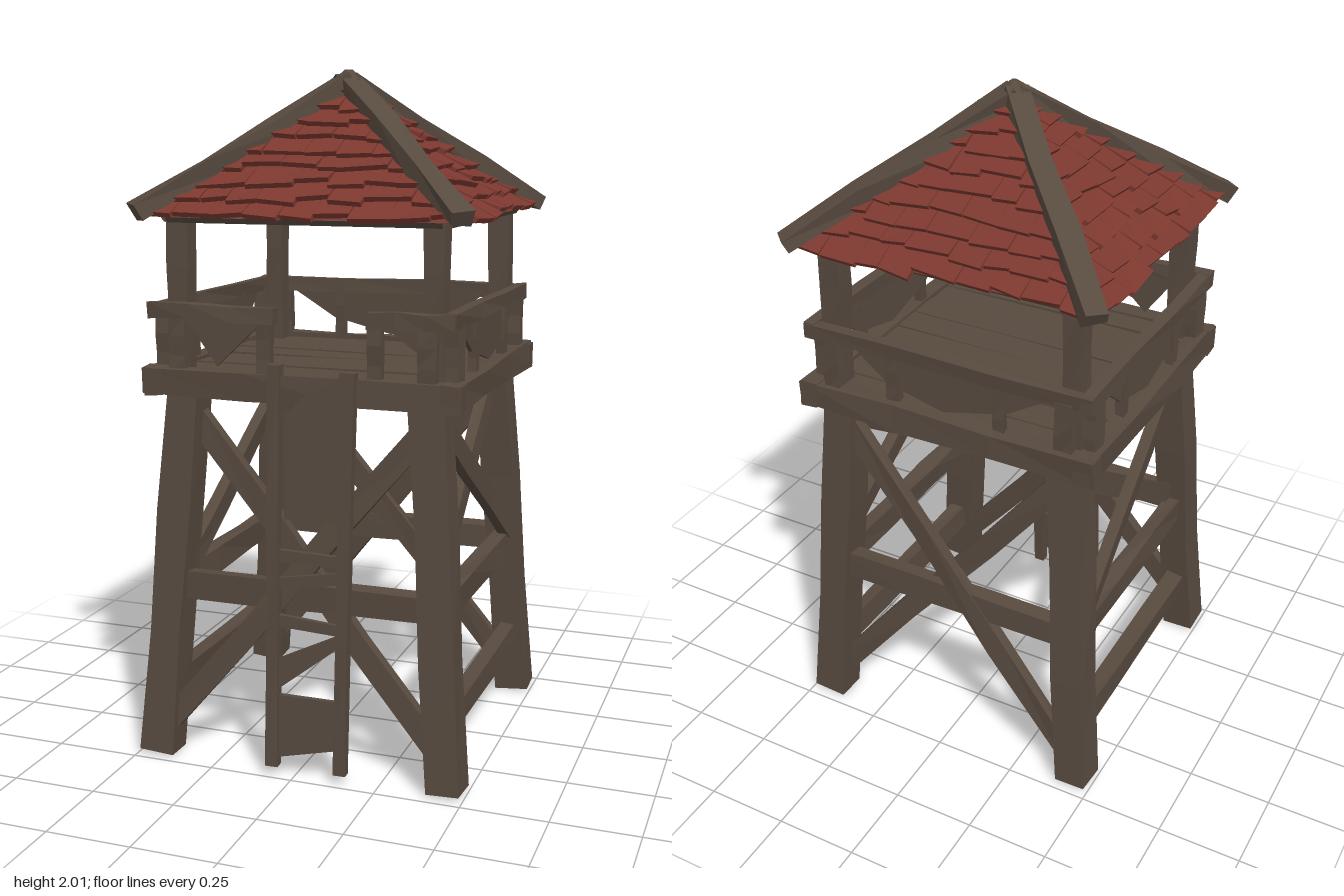
import * as THREE from 'three';
import { mergeGeometries } from 'three/addons/utils/BufferGeometryUtils.js';

const V = (x, y, z) => new THREE.Vector3(x, y, z);

export function createModel() {
  const tower = new THREE.Group();
  tower.name = 'watchtower';
  const wood = new THREE.MeshStandardMaterial({ color: 0x574a3f, flatShading: true, side: THREE.DoubleSide });
  wood.name = 'weathered wood';
  const tile = new THREE.MeshStandardMaterial({ color: 0x7c382f, flatShading: true, side: THREE.DoubleSide });
  tile.name = 'red shingle';

  let seed = 7;
  const rand = (a, b) => {
    seed = (seed * 16807) % 2147483647;
    return a + (b - a) * seed / 2147483647;
  };

  function add(name, geometry, material = wood, parent = tower) {
    const mesh = new THREE.Mesh(geometry, material);
    mesh.name = name;
    parent.add(mesh);
    return mesh;
  }

  // Rough-hewn beam from a to b: w across, d along the "out" direction
  function beam(name, a, b, w, d, out = V(0, 0, 1), rough = 0.004) {
    const axis = b.clone().sub(a);
    const g = new THREE.BoxGeometry(w, axis.length(), d, 1, 3, 1);
    const p = g.attributes.position;
    const phase = rand(0, 9);
    for (let i = 0; i < p.count; i++) {
      const k = p.getX(i) * 91 + p.getY(i) * 37 + p.getZ(i) * 67 + phase;
      p.setX(i, p.getX(i) + rough * Math.sin(k * 3));
      p.setZ(i, p.getZ(i) + rough * Math.cos(k * 5));
    }
    axis.normalize();
    const side = axis.clone().cross(out).normalize();
    const depth = side.clone().cross(axis);
    g.applyMatrix4(new THREE.Matrix4().makeBasis(side, axis, depth));
    g.translate(...a.clone().add(b).multiplyScalar(0.5).toArray());
    g.computeVertexNormals();
    return add(name, g);
  }

  // Thin board cut to an outline
  function board(name, points, depth = 0.012) {
    const shape = new THREE.Shape(points.map(([x, y]) => new THREE.Vector2(x, y)));
    const g = new THREE.ExtrudeGeometry(shape, { depth, bevelEnabled: false });
    g.translate(0, 0, -depth / 2);
    return add(name, g);
  }

  // Splayed legs, roof posts and short railing corner posts
  for (const x of [-1, 1]) for (const z of [-1, 1]) {
    beam('leg', V(x * 0.44, 0, z * 0.424), V(x * 0.365, 1.1, z * 0.355), 0.1, 0.098);
    beam('roofPost', V(x * 0.382, 1.08, z * 0.36), V(x * 0.377, 1.63, z * 0.36), 0.06, 0.06);
    beam('cornerPost', V(x * 0.43, 1.14, z * 0.36), V(x * 0.43, 1.31, z * 0.36), 0.04, 0.05);
    beam('cornerPost', V(x * 0.37, 1.14, z * 0.41), V(x * 0.37, 1.31, z * 0.41), 0.05, 0.035);
  }

  // Leg centre line at a given height
  const legX = y => 0.44 - 0.068 * y;
  const legZ = y => 0.424 - 0.063 * y;

  // Cross braces and cross beams, front and back
  for (const s of [-1, 1]) {
    const at = (x, y, off = 0) => V(x * legX(y), y, s * (legZ(y) + off));
    beam('crossBeam', at(-1, 0.515), at(1, 0.515), 0.08, 0.05);
    beam('brace', at(-1, 0.06, 0.012), at(1, 1.04, 0.012), 0.066, 0.035);
    beam('brace', at(1, 0.06, -0.02), at(-1, 1.04, -0.02), 0.066, 0.035);
  }
  // Cross braces and cross beams, left and right
  const outX = V(1, 0, 0);
  for (const s of [-1, 1]) {
    const at = (z, y, off = 0) => V(s * (legX(y) + off), y, z * legZ(y));
    for (const y of [0.19, 0.51]) beam('crossBeam', at(-1, y), at(1, y), 0.076, 0.05, outX);
    beam('brace', at(-1, 0.53, 0.015), at(1, 1.05, 0.015), 0.064, 0.035, outX);
    beam('brace', at(1, 0.53, -0.02), at(-1, 1.03, -0.02), 0.064, 0.035, outX);
  }

  // Platform: frame, planks and underside
  for (const s of [-1, 1]) {
    beam('platformBeam', V(-0.472, 1.12, s * 0.415), V(0.472, 1.12, s * 0.415), 0.078, 0.055);
    beam('platformBeam', V(s * 0.44, 1.12, -0.443), V(s * 0.44, 1.12, 0.443), 0.078, 0.055, outX);
  }
  for (let i = 0; i < 8; i++) {
    const z = -0.364 + i * 0.104;
    beam('floorPlank', V(-0.43, 1.132 + rand(-0.005, 0.005), z), V(0.43, 1.132, z), 0.025, 0.1, V(0, 0, 1), 0.002);
  }
  add('platformUnderside', new THREE.BoxGeometry(0.86, 0.02, 0.82).translate(0, 1.105, 0));

  // Railings, open at the ladder
  beam('railing', V(-0.455, 1.322, -0.408), V(0.45, 1.322, -0.408), 0.045, 0.035);
  beam('railing', V(-0.455, 1.322, 0.415), V(-0.07, 1.322, 0.415), 0.045, 0.035);
  beam('railing', V(0.2, 1.322, 0.415), V(0.45, 1.322, 0.415), 0.045, 0.035);
  for (const s of [-1, 1]) {
    beam('railing', V(s * 0.435, 1.322, -0.425), V(s * 0.435, 1.322, 0.43), 0.045, 0.035, outX);
  }

  // Ragged boards hung below the railings
  const ragged = [[-0.36, 1.32], [-0.19, 1.215], [0.01, 1.165], [0.19, 1.21], [0.33, 1.32]];
  board('railBoard', ragged).position.z = -0.4;
  for (const s of [-1, 1]) {
    const m = board('railBoard', ragged);
    m.rotation.y = Math.PI / 2;
    m.position.x = s * 0.43;
  }
  board('railBoard', [[-0.35, 1.31], [-0.25, 1.17], [-0.1, 1.31]]).position.z = 0.405;
  board('railBoard', [[0.24, 1.31], [0.39, 1.2], [0.39, 1.31]]).position.z = 0.405;
  // Balusters
  for (const x of [-0.1, 0.225]) beam('baluster', V(x, 1.14, 0.41), V(x, 1.31, 0.41), 0.04, 0.03);
  for (const t of [-0.17, 0.17]) {
    beam('baluster', V(t, 1.14, -0.4), V(t, 1.31, -0.4), 0.035, 0.025);
    for (const s of [-1, 1]) beam('baluster', V(s * 0.43, 1.14, t), V(s * 0.43, 1.31, t), 0.025, 0.035);
  }

  // Ladder: two rails with crooked steps and a tall board
  beam('ladderRail', V(-0.068, 0.02, 0.468), V(-0.058, 1.19, 0.445), 0.04, 0.034);
  beam('ladderRail', V(0.138, 0.02, 0.466), V(0.16, 1.18, 0.445), 0.04, 0.032);
  const steps = [
    [[-0.075, 0.04], [0.13, 0.09], [0.13, 0.235], [-0.065, 0.235]],
    [[-0.065, 0.24], [0.14, 0.40], [0.14, 0.435], [-0.055, 0.34]],
    [[-0.065, 0.44], [0.14, 0.43], [0.14, 0.46], [-0.06, 0.475]],
    [[-0.065, 0.55], [0.14, 0.58], [0.14, 0.615], [-0.06, 0.58]],
    [[-0.065, 0.63], [0.14, 0.63], [0.14, 0.66], [-0.06, 0.665]],
    [[-0.03, 0.755], [0.145, 0.755], [0.165, 1.17], [0.03, 1.11], [-0.03, 1.05]],
  ];
  for (const s of steps) {
    const m = board('ladderStep', s, 0.016);
    m.rotation.x = -0.02;
    m.position.z = 0.466;
  }

  // Roof: four slopes of overlapping shingles, trimmed along the hips
  const eaveY = 1.572, rise = 0.375, rows = 9;
  for (let k = 0; k < 4; k++) {
    const slope = new THREE.Group();
    slope.name = 'roofSlope';
    slope.rotation.y = k * Math.PI / 2;
    tower.add(slope);
    const reach = k % 2 ? 0.465 : 0.437;
    const half = k % 2 ? 0.437 : 0.465;
    const parts = [];
    for (let r = 0; r < rows; r++) {
      const v0 = r / rows, v1 = Math.min(0.995, (r + 1.45) / rows);
      const width = half * (1 - v0);
      const count = Math.max(1, Math.round(width * 2 / 0.1));
      const cuts = [-width];
      for (let i = 1; i < count; i++) cuts.push(-width + (i + rand(-0.25, 0.25)) * 2 * width / count);
      cuts.push(width);
      for (let i = 0; i < count; i++) {
        const g = new THREE.BoxGeometry(1, 1, 1);
        const p = g.attributes.position;
        const drop = rand(-0.012, 0.03), lift = rand(0.026, 0.038), skew = rand(-0.012, 0.012);
        for (let j = 0; j < p.count; j++) {
          const right = p.getX(j) > 0, top = p.getY(j) > 0, outer = p.getZ(j) > 0;
          const v = top ? v1 : v0 + drop + (right ? skew : -skew);
          const limit = half * (1 - v);
          const u = right ? cuts[i + 1] - 0.001 : cuts[i] + 0.001;
          const h = (top ? 0.006 : lift) - (outer ? 0 : 0.016);
          p.setXYZ(j, Math.max(-limit, Math.min(limit, u)), eaveY + rise * v + h * 0.8, reach * (1 - v) + h * 0.6);
        }
        g.computeVertexNormals();
        parts.push(g);
      }
    }
    add('shingles', mergeGeometries(parts), tile, slope);
    // Lining that closes the joints between shingles
    const lining = new THREE.BufferGeometry();
    lining.setAttribute('position', new THREE.Float32BufferAttribute([
      -half * 0.96, eaveY + rise * 0.04, reach * 0.96, half * 0.96, eaveY + rise * 0.04, reach * 0.96, 0, eaveY + rise, 0,
    ], 3));
    lining.computeVertexNormals();
    add('roofLining', lining, tile, slope);
    // Battens under the shingles
    for (const v of [0.1, 0.36, 0.62]) {
      const g = new THREE.BoxGeometry(2 * half * (1 - v) - 0.03, 0.02, 0.05);
      g.rotateX(Math.atan2(rise, reach));
      g.translate(0, eaveY + rise * v - 0.016, reach * (1 - v) - 0.01);
      add('roofBatten', g, wood, slope);
    }
  }

  // Hip beams and the peak cap
  for (const x of [-1, 1]) for (const z of [-1, 1]) {
    beam('hipBeam', V(x * 0.472, 1.6, z * 0.457), V(0, 1.967, 0), 0.066, 0.046, V(0, 1, 0), 0.005);
  }
  add('roofPeak', new THREE.CylinderGeometry(0.012, 0.045, 0.03, 6).translate(0, 1.984, 0));

  return tower;
}
